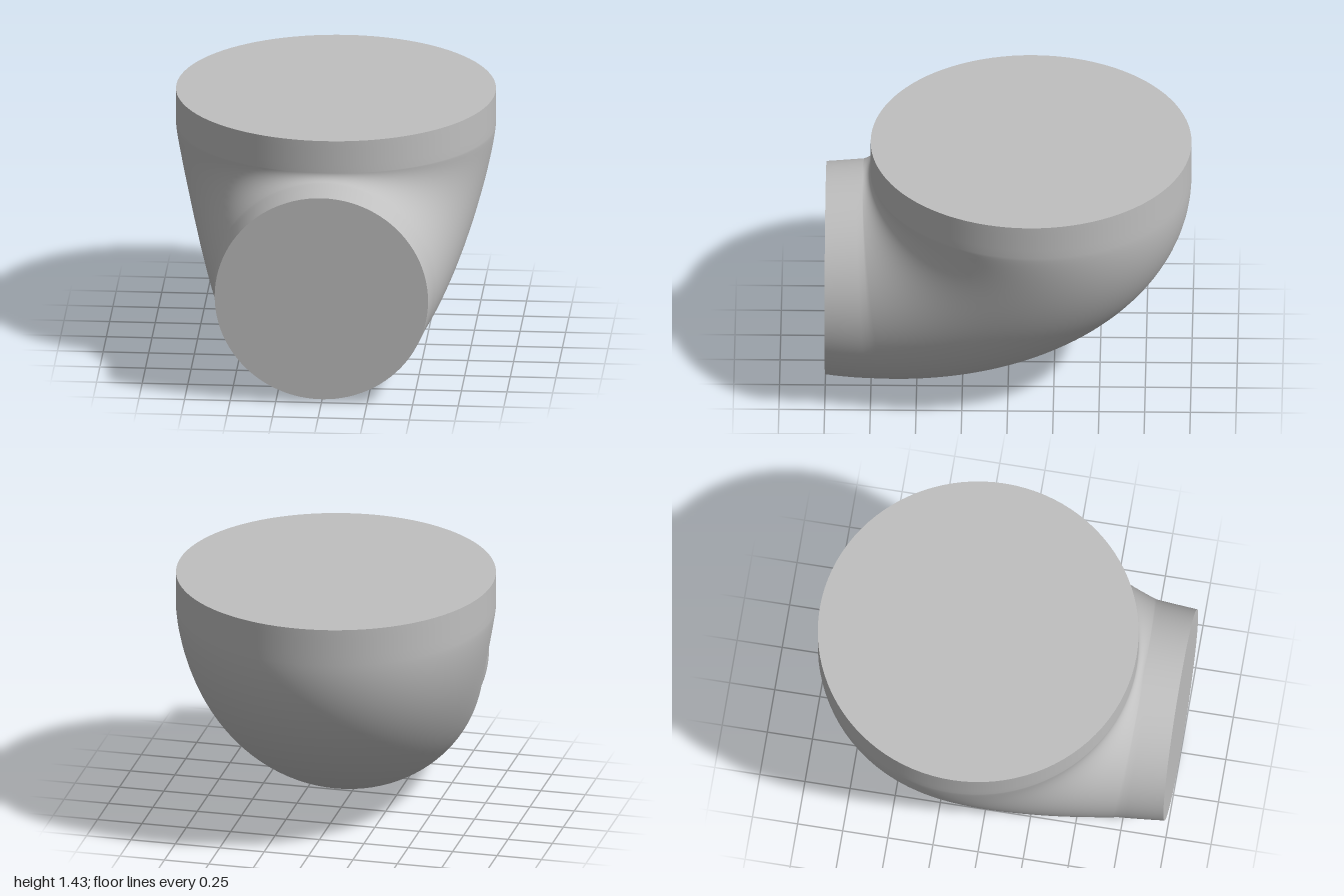
import * as THREE from 'three';

const SIDES = 96;

// Cross-sections as [inner z, inner y, outer z, outer y, half width], running from the top to the front
function sections() {
  const list = [];
  const steps = 48;
  for (let i = 0; i <= 4; i++) {
    const k = i / 4;
    list.push([0.755, 1.43 - 0.185 * k, -1, 1.43 - 0.21 * k, 0.875]);
  }
  for (let i = 1; i <= steps; i++) {
    const k = i / steps, t = k * Math.PI / 2;
    const c = Math.cos(t), s = Math.sin(t);
    list.push([
      0.8 - 0.045 * c, 1.245 - 0.045 * s,
      0.72 - 1.72 * c, 1.22 - 1.22 * s,
      0.875 - 0.27 * Math.pow(k, 1.3),
    ]);
  }
  for (let i = 1; i <= 6; i++) {
    const k = i / 6;
    list.push([0.8 + 0.2 * k, 1.2 - 0.015 * k, 0.72 + 0.28 * k, 0.02 * k * k, 0.605 - 0.02 * k]);
  }
  return list;
}

// Smooth closed skin through elliptical rings
function loft(rings) {
  const pos = [], index = [];
  rings.forEach(([iz, iy, oz, oy, w], i) => {
    for (let j = 0; j < SIDES; j++) {
      const a = (j / SIDES) * Math.PI * 2, s = Math.sin(a);
      pos.push(w * Math.cos(a), (iy + oy) / 2 + s * (iy - oy) / 2, (iz + oz) / 2 + s * (iz - oz) / 2);
      if (i === rings.length - 1) continue;
      const p = i * SIDES + j, q = i * SIDES + (j + 1) % SIDES;
      index.push(p, q, p + SIDES, q, q + SIDES, p + SIDES);
    }
  });
  const geo = new THREE.BufferGeometry();
  geo.setAttribute('position', new THREE.Float32BufferAttribute(pos, 3));
  geo.setIndex(index);
  geo.computeVertexNormals();
  return geo;
}

export function createModel() {
  const group = new THREE.Group();
  group.name = 'reducingElbow';
  const grey = new THREE.MeshStandardMaterial({ color: 0xc0c0c0 });
  grey.name = 'grey';

  const add = (name, geo) => {
    const mesh = new THREE.Mesh(geo, grey);
    mesh.name = name;
    group.add(mesh);
    return mesh;
  };

  // Curved body
  add('elbowBody', loft(sections()));

  // Flat round end faces
  const top = add('topFace', new THREE.CircleGeometry(1, SIDES));
  top.scale.set(0.875, 0.8775, 1);
  top.rotation.x = -Math.PI / 2;
  top.position.set(0, 1.43, -0.1225);

  const front = add('frontFace', new THREE.CircleGeometry(1, SIDES));
  front.scale.set(0.585, 0.5825, 1);
  front.position.set(0, 0.6025, 1);

  return group;
}
